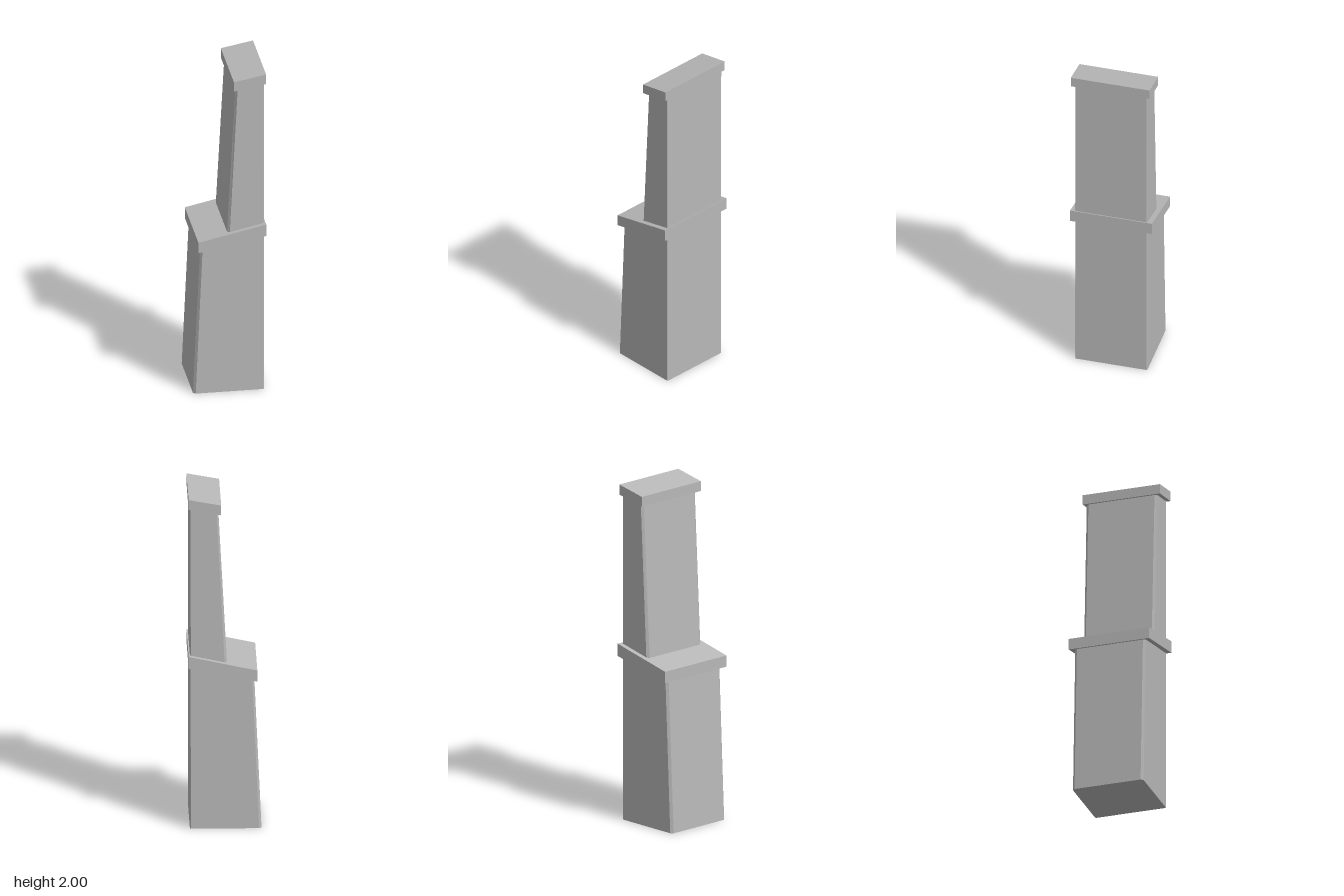
import * as THREE from 'three';

const stone = new THREE.MeshStandardMaterial({ color: 0xb8b8b8 });
stone.name = 'stone';

// height on a slope running from yL at xL to yR at xR
const slope = (xL, yL, xR, yR) => (x) => yL + ((x - xL) / (xR - xL)) * (yR - yL);

function moveVertices(geometry, rule) {
  const p = geometry.attributes.position;
  for (let i = 0; i < p.count; i++) {
    p.setXYZ(i, ...rule(p.getX(i), p.getY(i), p.getZ(i)));
  }
  geometry.computeVertexNormals();
  return geometry;
}

function mesh(name, geometry) {
  const m = new THREE.Mesh(geometry, stone);
  m.name = name;
  return m;
}

// shaft with bevelled corners whose outer (-x) face leans in towards the wall side
function shaft(name, xL, xLTop, xR, halfZ, bottom, top) {
  const a = 0.014, b = 0.005;
  const plan = new THREE.Shape([
    [xL, -halfZ + a], [xL + a, -halfZ], [xR - b, -halfZ], [xR, -halfZ + b],
    [xR, halfZ - b], [xR - b, halfZ], [xL + a, halfZ], [xL, halfZ - a],
  ].map(([x, z]) => new THREE.Vector2(x, z)));
  const g = new THREE.ExtrudeGeometry(plan, { depth: 1, bevelEnabled: false });
  g.rotateX(-Math.PI / 2);
  return mesh(name, moveVertices(g, (x, t, z) => {
    const nx = x + t * (xLTop - xL) * ((xR - x) / (xR - xL));
    return [nx, t < 0.5 ? bottom(nx) : top(nx), z];
  }));
}

// sloping slab with upright ends
function cap(name, xL, xR, zBack, zFront, bottom, top) {
  const g = new THREE.BoxGeometry(xR - xL, 1, zFront - zBack);
  g.translate((xL + xR) / 2, 0, (zBack + zFront) / 2);
  return mesh(name, moveVertices(g, (x, y, z) => [x, y < 0 ? bottom(x) : top(x), z]));
}

export function createModel() {
  const group = new THREE.Group();
  group.name = 'buttress';

  const lowUnder = slope(-0.186, 0.9, 0.208, 0.98);
  const lowTop = slope(-0.186, 0.967, 0.208, 1.053);
  const highUnder = slope(0.021, 1.906, 0.208, 1.94);
  const highTop = slope(0.021, 1.965, 0.208, 2);

  group.add(
    shaft('lowerShaft', -0.211, -0.169, 0.2, 0.214, () => 0, (x) => lowUnder(x) + 0.02),
    cap('lowerCap', -0.186, 0.208, -0.244, 0.243, lowUnder, lowTop),
    shaft('upperShaft', -0.014, 0.037, 0.2, 0.214, (x) => lowTop(x) - 0.02, (x) => highUnder(x) + 0.02),
    cap('upperCap', 0.021, 0.208, -0.23, 0.238, highUnder, highTop),
  );
  return group;
}
